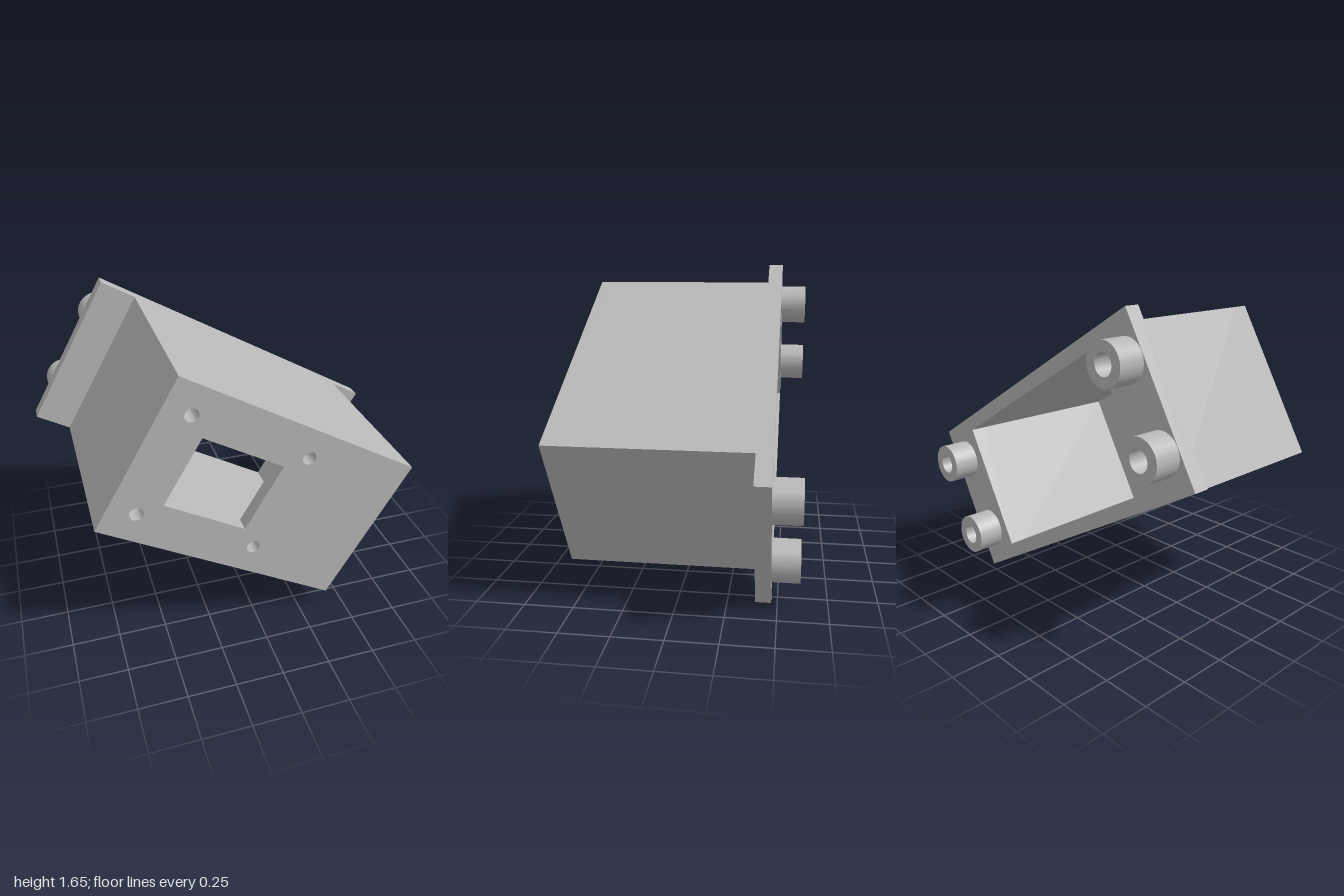
import * as THREE from 'three';
import { toCreasedNormals } from 'three/addons/utils/BufferGeometryUtils.js';

const grey = new THREE.MeshStandardMaterial({ color: 0xb8b8b8 });
grey.name = 'plain grey';

// Half sizes in the bracket's own, untilted axes
const FLANGE = 0.906, BODY = 0.707, HALF_H = 0.43;
const CAVITY_W = 0.632, CAVITY_H = 0.354;
const Z_BACK = -0.47, Z_FLANGE = -0.39, Z_INNER = 0.53, Z_FRONT = 0.61;

function rect(target, cx, halfW, halfH) {
  target.moveTo(cx - halfW, -halfH);
  target.lineTo(cx + halfW, -halfH);
  target.lineTo(cx + halfW, halfH);
  target.lineTo(cx - halfW, halfH);
  target.closePath();
  return target;
}

const circle = (target, x, y, r) => target.absarc(x, y, r, 0, Math.PI * 2);

// Extrude an outline with holes between two depths
function slab(name, outline, holes, z0, z1) {
  outline.holes.push(...holes);
  const geo = new THREE.ExtrudeGeometry(outline, { depth: z1 - z0, bevelEnabled: false, curveSegments: 40 });
  geo.translate(0, 0, z0);
  const mesh = new THREE.Mesh(toCreasedNormals(geo, 0.5), grey);
  mesh.name = name;
  return mesh;
}

const ring = (name, x, y, outer, inner, z0, z1) =>
  slab(name, circle(new THREE.Shape(), x, y, outer), [circle(new THREE.Path(), x, y, inner)], z0, z1);

export function createModel() {
  const model = new THREE.Group();
  model.name = 'mountingBox';
  const cavity = () => rect(new THREE.Path(), 0, CAVITY_W, CAVITY_H);

  // Wide rear flange and the hollow body
  model.add(slab('rearFlange', rect(new THREE.Shape(), 0, FLANGE, HALF_H), [cavity()], Z_BACK, Z_FLANGE));
  model.add(slab('bodyWalls', rect(new THREE.Shape(), 0, BODY, HALF_H), [cavity()], Z_FLANGE, Z_INNER));

  // Front plate with window and four screw holes, standoffs behind the holes
  const windowX = -0.222;
  const plateHoles = [rect(new THREE.Path(), windowX, 0.235, 0.195)];
  for (const sx of [-1, 1]) {
    for (const sy of [-1, 1]) {
      const x = windowX + sx * 0.338, y = sy * 0.281;
      plateHoles.push(circle(new THREE.Path(), x, y, 0.035));
      model.add(ring('innerStandoff', x, y, 0.07, 0.035, Z_INNER - 0.08, Z_INNER));
      // Blind-holed feet on the back of the flange
      model.add(ring('rearFoot', sx * 0.796, sy * 0.22, 0.108, 0.054, -0.61, Z_BACK));
    }
  }
  model.add(slab('frontPlate', rect(new THREE.Shape(), 0, BODY, HALF_H), plateHoles, Z_INNER, Z_FRONT));

  // Tilt the whole box so it stands on one corner edge
  model.rotation.z = -Math.PI / 6;
  model.position.y = FLANGE * 0.5 + HALF_H * Math.cos(Math.PI / 6);
  const root = new THREE.Group();
  root.name = 'tiltedMountingBox';
  root.add(model);
  return root;
}
